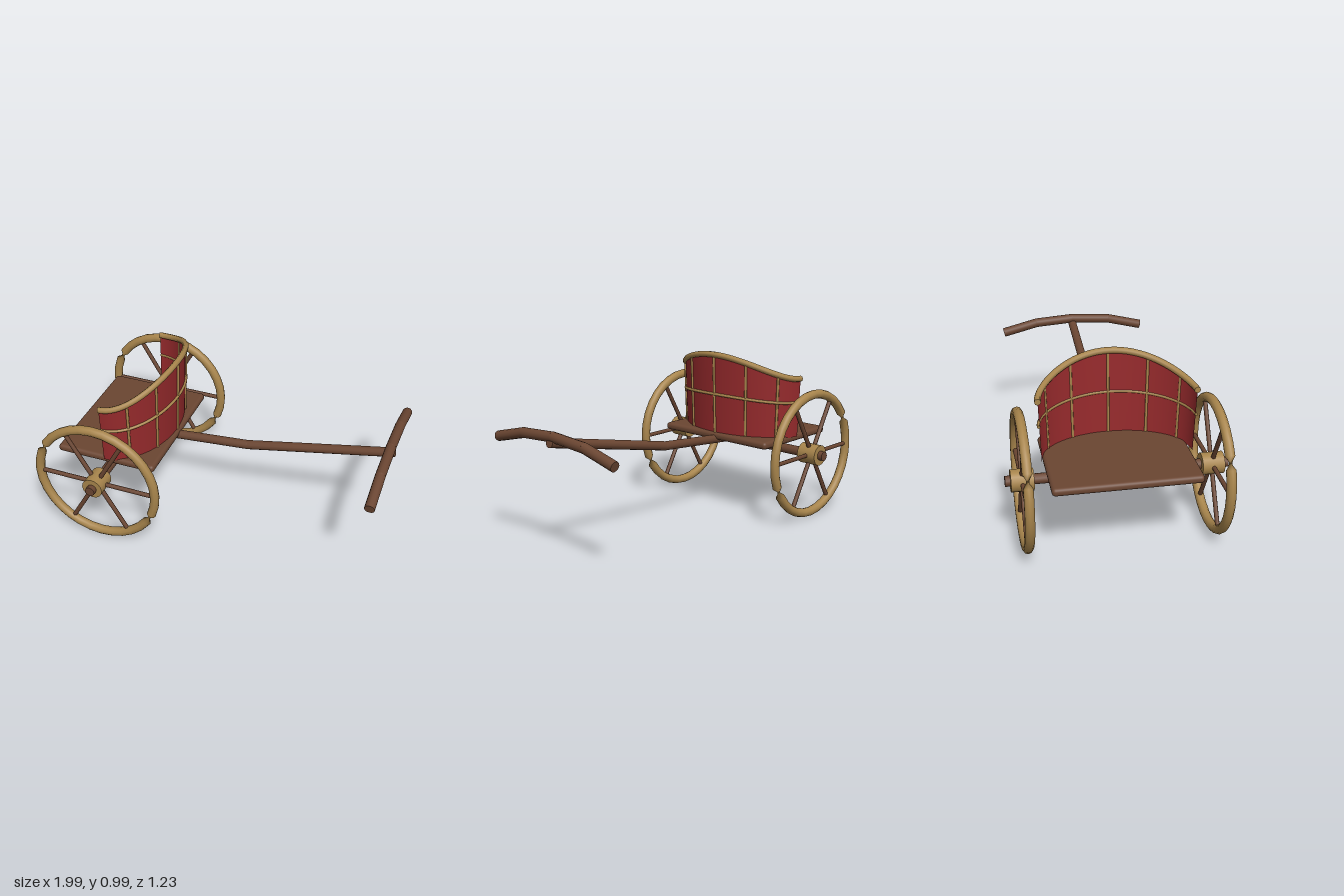
import * as THREE from 'three';
import { RoundedBoxGeometry } from 'three/addons/geometries/RoundedBoxGeometry.js';
import { ParametricGeometry } from 'three/addons/geometries/ParametricGeometry.js';

const material = (name, color, side = THREE.FrontSide) => {
  const m = new THREE.MeshStandardMaterial({ color, side });
  m.name = name;
  return m;
};

const AXLE_X = -0.605, AXLE_Y = 0.4;
const V = (x, y, z) => new THREE.Vector3(x, y, z);

// Point on the curved front wall: angle 0 is the middle, +-90 degrees the sides
function wallPoint(angle, y, out = 0) {
  const flare = (y - 0.5) / 0.4 * 0.015 + out;
  return V(AXLE_X + (0.286 + flare) * Math.cos(angle), y, (0.412 + flare) * Math.sin(angle));
}
const topHeight = (a) => 0.848 + 0.135 * Math.cos(a) ** 2;
const bandHeight = (a) => 0.705 + 0.035 * Math.cos(a) ** 2;

export function createModel() {
  const wood = material('brown wood', 0x6b4632);
  const gold = material('golden wood', 0xa8854c);
  const red = material('red panel', 0x962a2c, THREE.DoubleSide);
  const model = new THREE.Group();
  model.name = 'chariot';

  const add = (name, geometry, mat, parent = model) => {
    const mesh = new THREE.Mesh(geometry, mat);
    mesh.name = name;
    parent.add(mesh);
    return mesh;
  };

  // Round rod from a to b
  const rod = (name, a, b, r, mat, parent = model, sides = 12) => {
    const mesh = add(name, new THREE.CylinderGeometry(r, r, a.distanceTo(b), sides), mat, parent);
    mesh.position.copy(a).lerp(b, 0.5);
    mesh.quaternion.setFromUnitVectors(V(0, 1, 0), b.clone().sub(a).normalize());
    return mesh;
  };

  // Bent rod through several points, with rounded joints
  const bentRod = (name, points, r, mat) => {
    const group = new THREE.Group();
    group.name = name;
    model.add(group);
    points.forEach((p, i) => {
      if (i > 0) rod(name + 'Section', points[i - 1], p, r, mat, group);
      if (i > 0 && i < points.length - 1)
        add(name + 'Joint', new THREE.SphereGeometry(r, 12, 8), mat, group).position.copy(p);
    });
  };

  // Thin tube that follows the wall at a given height rule
  const wallTube = (name, height, out, r) => {
    const points = [];
    for (let i = 0; i <= 24; i++) {
      const a = (i / 24 - 0.5) * Math.PI;
      points.push(wallPoint(a, height(a), out));
    }
    add(name, new THREE.TubeGeometry(new THREE.CatmullRomCurve3(points), 48, r, 8), gold);
    for (const end of [points[0], points[24]]) {
      const cap = add(name + 'End', new THREE.CircleGeometry(r, 8), gold);
      cap.position.copy(end);
      cap.rotation.y = -Math.PI / 2;
    }
  };

  // Floor
  add('floor', new RoundedBoxGeometry(0.61, 0.045, 0.8, 3, 0.02), wood).position.set(-0.607, 0.478, 0);

  // Curved wall, rail, band and ribs
  add('frontWall', new ParametricGeometry((u, v, target) => {
    const a = (u - 0.5) * Math.PI;
    target.copy(wallPoint(a, THREE.MathUtils.lerp(0.49, topHeight(a), v)));
  }, 40, 4), red);
  wallTube('topRail', topHeight, 0, 0.018);
  wallTube('middleBand', bandHeight, 0.004, 0.009);
  for (let i = -2; i <= 2; i++) {
    const a = i * Math.PI / 6;
    rod('wallRib', wallPoint(a, 0.5, 0.002), wallPoint(a, topHeight(a), 0.002), 0.008, gold, model, 8);
  }

  // Axle
  rod('axle', V(AXLE_X, AXLE_Y, -0.613), V(AXLE_X, AXLE_Y, 0.613), 0.029, wood);

  // Wheel rim: half of its rings are turned over, which pinches it at two joints
  const R = 0.365, SEGMENTS = 32;
  const rim = new THREE.TorusGeometry(R, 0.027, 10, SEGMENTS);
  const pos = rim.attributes.position, nor = rim.attributes.normal;
  for (let k = 0; k < pos.count; k++) {
    const ring = k % (SEGMENTS + 1);
    if (ring < 14 || ring > 29) continue;
    const u = ring / SEGMENTS * Math.PI * 2;
    pos.setXYZ(k, 2 * R * Math.cos(u) - pos.getX(k), 2 * R * Math.sin(u) - pos.getY(k), -pos.getZ(k));
    nor.setXYZ(k, -nor.getX(k), -nor.getY(k), -nor.getZ(k));
  }

  // Wheels
  for (const side of [1, -1]) {
    const wheel = new THREE.Group();
    wheel.name = side > 0 ? 'leftWheel' : 'rightWheel';
    wheel.position.set(AXLE_X, AXLE_Y, side * 0.522);
    model.add(wheel);
    add('rim', rim, gold, wheel);
    rod('hub', V(0, 0, -0.062), V(0, 0, 0.062), 0.062, gold, wheel, 16);
    for (let i = 0; i < 6; i++) {
      const a = i * Math.PI / 3;
      rod('spoke', V(0, 0, 0), V(R * Math.cos(a), R * Math.sin(a), 0), 0.013, wood, wheel, 8);
    }
  }

  // Draught pole and yoke
  bentRod('pole', [V(-0.415, 0.448, 0), V(0.13, 0.498, 0), V(0.99, 0.68, 0)], 0.027, wood);
  bentRod('yoke', [V(0.964, 0.635, 0.46), V(0.964, 0.69, 0.24), V(0.964, 0.706, 0),
    V(0.964, 0.69, -0.24), V(0.964, 0.635, -0.46)], 0.029, wood);

  return model;
}
